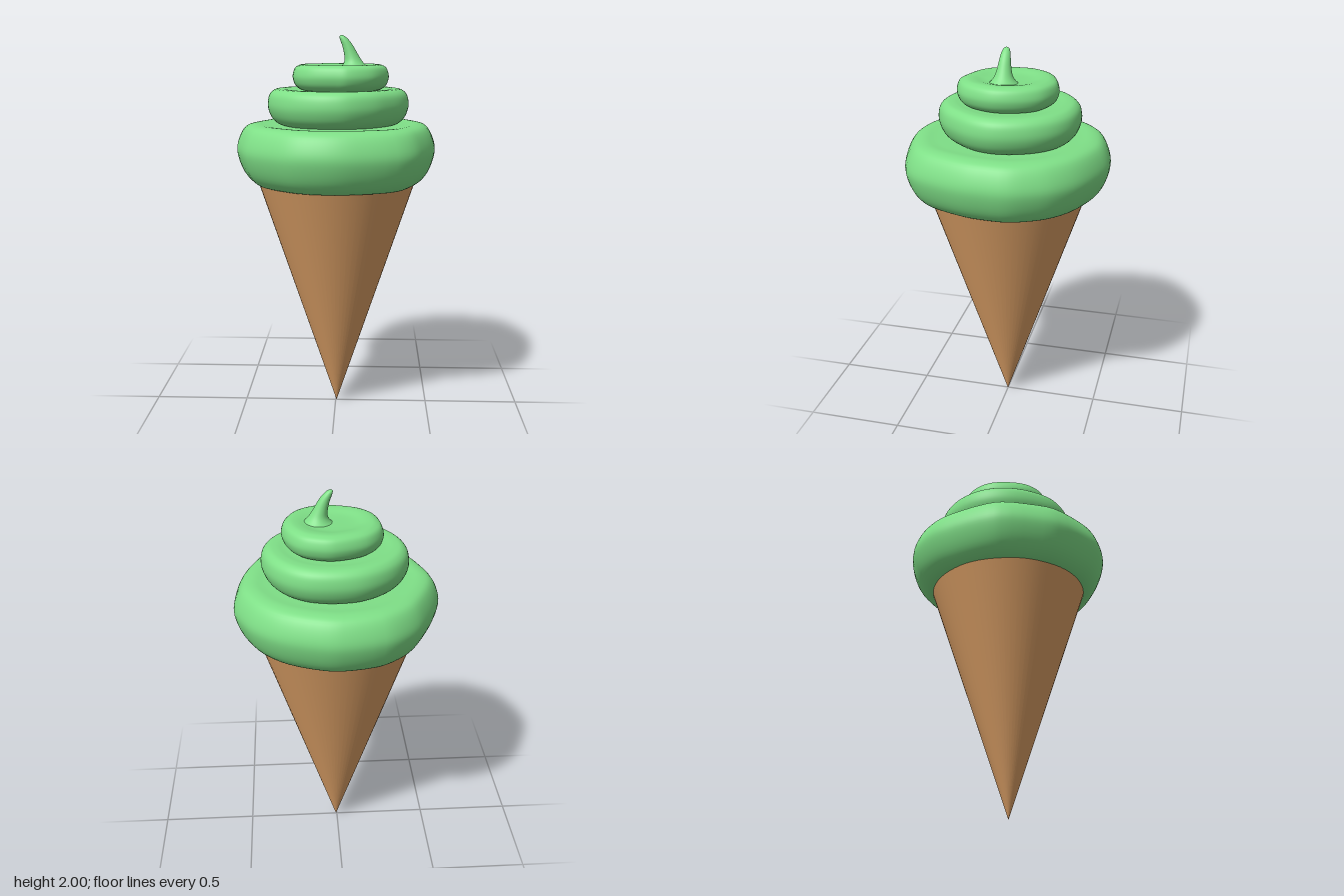
import * as THREE from 'three';

const green = new THREE.MeshStandardMaterial({ color: 0x7fdf87 });
const wafer = new THREE.MeshStandardMaterial({ color: 0xdca066 });

// Smooth skin over closed rings of points, listed from bottom to top
function skin(rings) {
  const n = rings[0].length;
  const index = [];
  for (let i = 0; i < rings.length - 1; i++) {
    for (let j = 0; j < n; j++) {
      const k = (j + 1) % n;
      const a = i * n + j, b = a + n, c = i * n + k, d = c + n;
      index.push(a, b, c, b, d, c);
    }
  }
  const geometry = new THREE.BufferGeometry().setFromPoints(rings.flat());
  geometry.setIndex(index);
  geometry.computeVertexNormals();
  return geometry;
}

// One swirl layer: a hand-shaped plan outline scaled along a rounded profile of [scale, y]
function swirlLayer(name, outline, [cx, cz], profile) {
  const plan = new THREE.CatmullRomCurve3(
    outline.map(([x, z]) => new THREE.Vector3(x, 0, z)), true, 'centripetal').getPoints(72).slice(0, -1);
  const side = new THREE.CatmullRomCurve3(
    profile.map(([s, y]) => new THREE.Vector3(s, y, 0)), false, 'centripetal').getPoints(40);
  const rings = side.map(({ x: s, y }) =>
    plan.map((p) => new THREE.Vector3(cx + (p.x - cx) * s, y, cz + (p.z - cz) * s)));
  const mesh = new THREE.Mesh(skin(rings), green);
  mesh.name = name;
  return mesh;
}

export function createModel() {
  const group = new THREE.Group();
  group.name = 'iceCreamCone';

  // Wafer cone, point down
  const coneGeometry = new THREE.ConeGeometry(0.415, 1.25, 64, 1);
  coneGeometry.rotateX(Math.PI);
  const cone = new THREE.Mesh(coneGeometry, wafer);
  cone.name = 'cone';
  cone.position.set(0.005, 0.625, 0);
  group.add(cone);

  // Three stacked swirls, outlines as [x, z] starting at the back
  group.add(swirlLayer('lowerSwirl', [
    [0, -0.53], [0.11, -0.515], [0.3, -0.435], [0.42, -0.33], [0.48, -0.23], [0.52, -0.12],
    [0.52, 0], [0.505, 0.12], [0.45, 0.28], [0.4, 0.375], [0.315, 0.445], [0.12, 0.51],
    [0.01, 0.525], [-0.1, 0.515], [-0.2, 0.485], [-0.29, 0.425], [-0.43, 0.29], [-0.48, 0.17],
    [-0.52, 0], [-0.5, -0.11], [-0.42, -0.29], [-0.37, -0.37], [-0.29, -0.445], [-0.2, -0.495],
  ], [0, 0], [
    [0, 1.24], [0.72, 1.237], [0.83, 1.245], [0.92, 1.29], [0.98, 1.36], [1, 1.42],
    [0.97, 1.48], [0.91, 1.53], [0.82, 1.548], [0.68, 1.545], [0, 1.54],
  ]));

  group.add(swirlLayer('middleSwirl', [
    [0, -0.375], [0.15, -0.355], [0.26, -0.29], [0.34, -0.18], [0.38, -0.02], [0.35, 0.11],
    [0.27, 0.22], [0.2, 0.285], [0.09, 0.34], [0.01, 0.35], [-0.1, 0.33], [-0.23, 0.26],
    [-0.32, 0.13], [-0.355, 0], [-0.34, -0.13], [-0.26, -0.26], [-0.13, -0.35],
  ], [0.01, -0.01], [
    [0, 1.535], [0.78, 1.54], [0.88, 1.555], [0.96, 1.59], [1, 1.64],
    [0.98, 1.69], [0.91, 1.72], [0.8, 1.727], [0.65, 1.722], [0, 1.72],
  ]));

  group.add(swirlLayer('upperSwirl', [
    [0.02, -0.265], [0.1, -0.255], [0.19, -0.21], [0.25, -0.12], [0.275, 0], [0.25, 0.1],
    [0.19, 0.19], [0.07, 0.245], [0, 0.235], [-0.13, 0.185], [-0.2, 0.1], [-0.225, -0.06],
    [-0.2, -0.14], [-0.13, -0.215],
  ], [0.025, -0.01], [
    [0, 1.715], [0.75, 1.718], [0.88, 1.73], [0.97, 1.757], [1, 1.79],
    [0.96, 1.828], [0.85, 1.848], [0.7, 1.85], [0.45, 1.838], [0, 1.835],
  ]));

  // Curled tip: round rings of [x, y, radius] flaring into the top swirl
  const tipSections = [
    [0.095, 1.825, 0.085], [0.095, 1.845, 0.062], [0.091, 1.868, 0.046], [0.08, 1.9, 0.036],
    [0.062, 1.945, 0.028], [0.045, 1.975, 0.022], [0.034, 1.992, 0.014], [0.03, 2, 0],
  ];
  const tipCurve = new THREE.CatmullRomCurve3(tipSections.map((s) => new THREE.Vector3(...s)));
  // The curve carries the radius in its third coordinate
  const tipRings = tipCurve.getPoints(28).map(({ x, y, z: r }) =>
    Array.from({ length: 28 }, (_, j) => {
      const a = (j / 28) * Math.PI * 2;
      return new THREE.Vector3(x + r * Math.cos(a), y, r * Math.sin(a));
    }));
  const tip = new THREE.Mesh(skin(tipRings), green);
  tip.name = 'curledTip';
  group.add(tip);

  return group;
}
